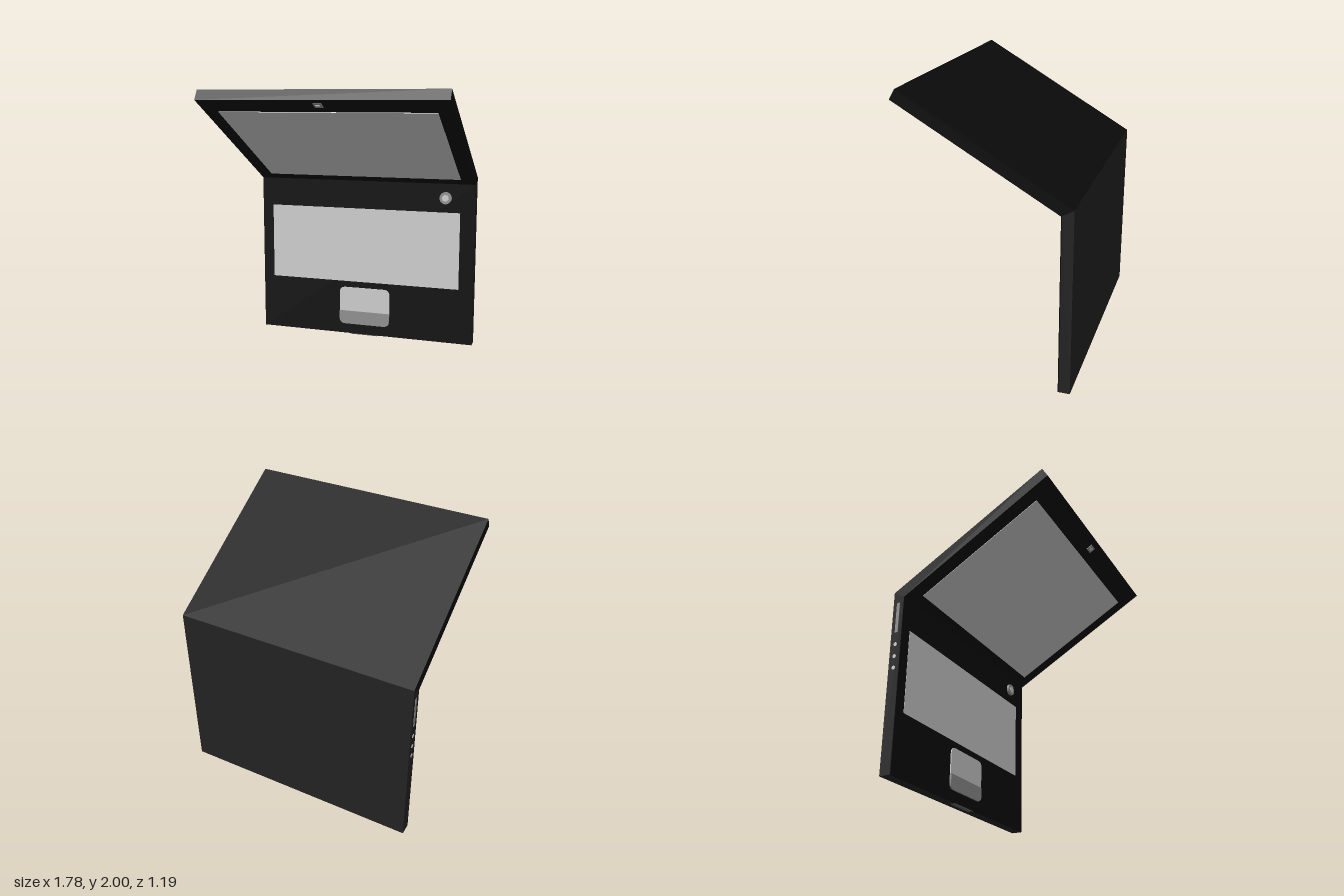
import * as THREE from 'three';

const mat = (color) => new THREE.MeshStandardMaterial({ color });
const shell = mat(0x222222), black = mat(0x0b0b0b), light = mat(0xcccccc), mid = mat(0x8f8f8f), dim = mat(0x606060);
const W = 1.78;

function add(parent, name, geometry, material, x = 0, y = 0, z = 0) {
  const mesh = new THREE.Mesh(geometry, material);
  mesh.name = name;
  mesh.position.set(x, y, z);
  parent.add(mesh);
  return mesh;
}

// Side profile given as [z, y] points, extruded across the width
function slab(points, width = W) {
  const shape = new THREE.Shape(points.map(([z, y]) => new THREE.Vector2(-z, y)));
  return new THREE.ExtrudeGeometry(shape, { depth: width, bevelEnabled: false })
    .translate(0, 0, -width / 2).rotateY(Math.PI / 2);
}

// Plate with its two corners at one end rounded; dir = 1 rounds the top, -1 the bottom
function halfPad(w, h, r, depth, dir) {
  const s = new THREE.Shape(), x = w / 2;
  s.moveTo(-x, 0);
  s.lineTo(x, 0);
  s.lineTo(x, dir * (h - r));
  s.quadraticCurveTo(x, dir * h, x - r, dir * h);
  s.lineTo(-x + r, dir * h);
  s.quadraticCurveTo(-x, dir * h, -x, dir * (h - r));
  return new THREE.ExtrudeGeometry(s, { depth, bevelEnabled: false, curveSegments: 8 });
}

export function createModel() {
  const model = new THREE.Group();
  model.name = 'laptop';

  // Base standing upright, mitred against the lid at the hinge
  const base = new THREE.Group();
  base.name = 'base';
  model.add(base);
  add(base, 'baseShell', slab([[-0.597, 0.006], [-0.597, 1.335], [-0.519, 1.29], [-0.519, 0.006]]), shell);
  add(base, 'deck', slab([[-0.519, 0.006], [-0.519, 1.29], [-0.513, 1.286], [-0.513, 0.006]]), black);
  add(base, 'keyboard', new THREE.BoxGeometry(1.575, 0.61, 0.004), light, -0.0125, 0.755, -0.513);

  // Touchpad with its raised button bar
  add(base, 'touchpad', halfPad(0.425, 0.2, 0.05, 0.01, 1), light, 0.002, 0.2, -0.515);
  add(base, 'touchpadButtons', halfPad(0.425, 0.11, 0.05, 0.016, -1), mid, 0.002, 0.2, -0.515);

  // Power button
  const disc = (r, h) => new THREE.CylinderGeometry(r, r, h, 32).rotateX(Math.PI / 2);
  add(base, 'powerButtonRing', disc(0.047, 0.022), mid, 0.66, 1.175, -0.504);
  add(base, 'powerButtonCap', disc(0.026, 0.004), light, 0.66, 1.175, -0.492);

  // Opening lip under the front edge
  const lip = new THREE.Shape([[-0.13, 0.007], [-0.11, 0], [0.11, 0], [0.13, 0.007]]
    .map(([x, y]) => new THREE.Vector2(x, y)));
  add(base, 'openingLip', new THREE.ExtrudeGeometry(lip, { depth: 0.035, bevelEnabled: false }), dim, 0, 0, -0.549);

  // Drive slot and three sockets on the right edge
  add(base, 'driveSlot', new THREE.BoxGeometry(0.006, 0.23, 0.024), mid, -W / 2, 1.13, -0.556);
  for (const y of [0.925, 0.835, 0.75]) {
    add(base, 'socket', new THREE.CylinderGeometry(0.014, 0.014, 0.006, 16).rotateZ(Math.PI / 2), light, -W / 2, y, -0.556);
  }

  // Lid leaning forward over the base
  add(model, 'lid', slab([[-0.513, 1.286], [-0.597, 1.335], [0.558, 2], [0.598, 1.93]]), black);
  const lidFace = new THREE.Group();
  lidFace.name = 'lidFace';
  lidFace.position.set(0, 1.286, -0.513);
  lidFace.rotation.x = Math.PI / 3;
  model.add(lidFace);
  add(lidFace, 'screen', new THREE.BoxGeometry(1.565, 1.035, 0.004), light, 0.004, 0.607, 0.001);
  add(lidFace, 'camera', new THREE.BoxGeometry(0.06, 0.05, 0.006), mid, -0.002, 1.215, 0.001);
  add(lidFace, 'cameraLens', new THREE.BoxGeometry(0.03, 0.025, 0.004), light, -0.002, 1.215, 0.003);

  return model;
}
